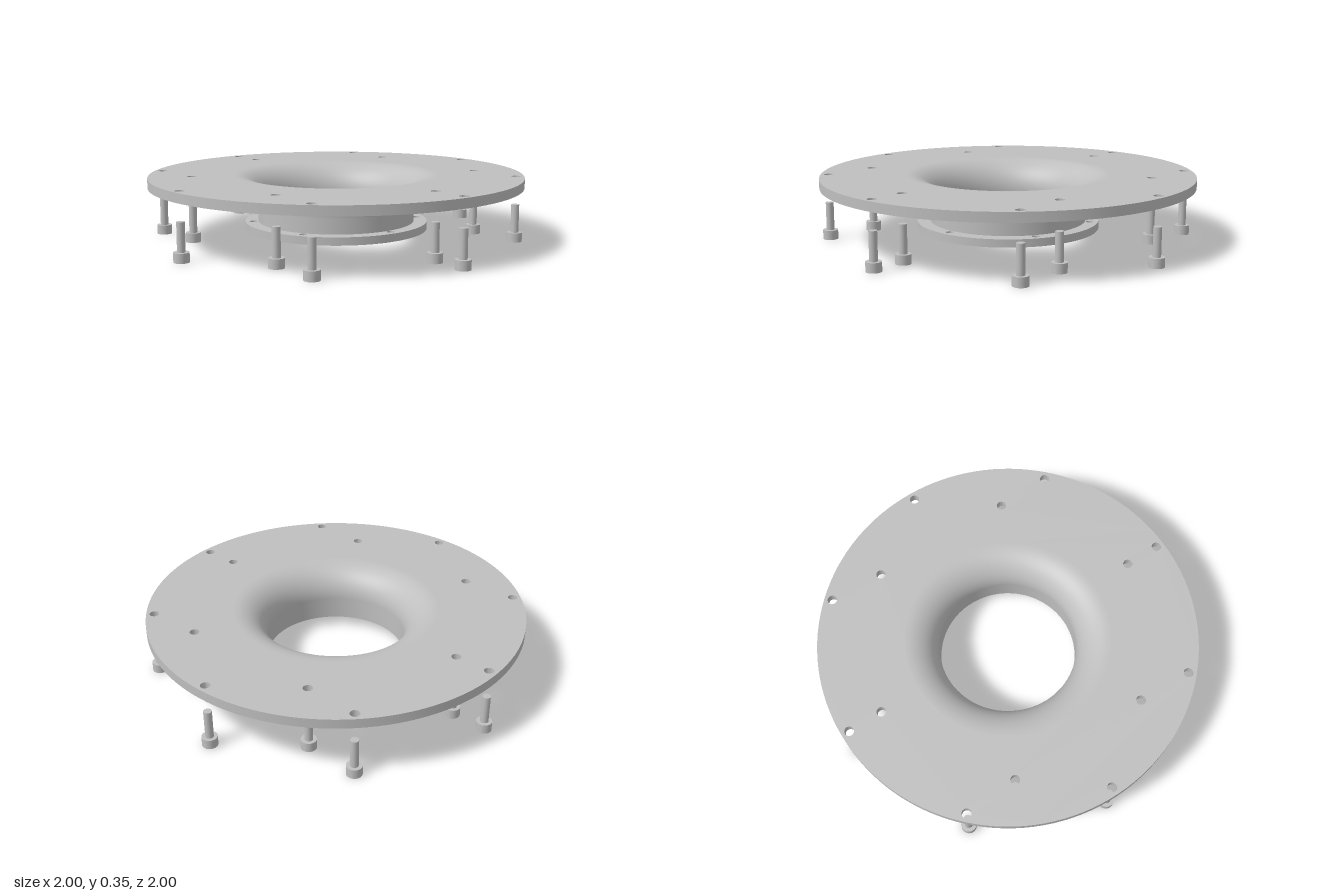
import * as THREE from 'three';
import { toCreasedNormals } from 'three/addons/utils/BufferGeometryUtils.js';

const BOLT_R = 0.957, INNER_BOLT_R = 0.768, FLANGE_HOLE_R = 0.446;
const BORE = 0.368, NECK = 0.42, FLARE = 0.54;

// Evenly spaced points on a circle
function ring(count, radius, cx = 0, cy = 0) {
  return Array.from({ length: count }, (_, i) => {
    const a = (i / count) * Math.PI * 2;
    return new THREE.Vector2(cx + Math.cos(a) * radius, cy + Math.sin(a) * radius);
  });
}

// Flat disc lying on y, cut by the given outlines
function cutDisc(outline, holes, y, height) {
  const shape = new THREE.Shape(outline);
  shape.holes = holes.map((points) => new THREE.Path(points));
  const geo = new THREE.ExtrudeGeometry(shape, { depth: height, bevelEnabled: false });
  geo.rotateX(-Math.PI / 2).translate(0, y, 0);
  return toCreasedNormals(geo, Math.PI / 5);
}

// Quarter arc around the fillet centre, from the neck up to the plate
function filletArc(radius) {
  return Array.from({ length: 17 }, (_, i) => {
    const a = (i / 16) * Math.PI / 2;
    return new THREE.Vector2(FLARE - Math.cos(a) * radius, 0.18 + Math.sin(a) * radius);
  });
}

export function createModel() {
  const model = new THREE.Group();
  model.name = 'boltedFlange';
  const steel = new THREE.MeshStandardMaterial({ color: 0xbfbfbf });
  steel.name = 'grey steel';

  function add(parent, name, geometry) {
    const mesh = new THREE.Mesh(geometry, steel);
    mesh.name = name;
    parent.add(mesh);
    return mesh;
  }

  // Two bolt circles: eight at the rim, six further in
  const boltSpots = [...ring(8, BOLT_R), ...ring(6, INNER_BOLT_R)];

  // Wide top plate with clearance holes
  const plateHoles = boltSpots.map((p) => ring(20, 0.025, p.x, p.y));
  add(model, 'topPlate', cutDisc(ring(128, 1), [ring(96, FLARE), ...plateHoles], 0.30, 0.05));

  // Flared neck: outside and inside skins
  const outside = [new THREE.Vector2(NECK, 0.10), ...filletArc(FLARE - NECK)];
  const inside = [new THREE.Vector2(BORE, 0.10), ...filletArc(FLARE - BORE)];
  inside.forEach((p) => { if (p.y > 0.18) p.y = 0.18 + (p.y - 0.18) * 0.17 / (FLARE - BORE); });
  add(model, 'neckOutside', new THREE.LatheGeometry(outside, 96));
  add(model, 'neckInside', new THREE.LatheGeometry(inside.reverse(), 96));

  // Small lower flange with six holes
  const flangeHoles = ring(6, FLANGE_HOLE_R).map((p) => ring(20, 0.021, p.x, p.y));
  add(model, 'lowerFlange', cutDisc(ring(96, 0.49), [ring(96, BORE), ...flangeHoles], 0.058, 0.042));

  // Socket head bolts hanging below the plate
  const socketHead = cutDisc(ring(32, 0.04), [ring(6, 0.021)], 0, 0.028);
  const headTop = new THREE.CylinderGeometry(0.04, 0.04, 0.022, 32).translate(0, 0.039, 0);
  const shank = new THREE.CylinderGeometry(0.021, 0.021, 0.15, 24).translate(0, 0.125, 0);
  boltSpots.forEach((p, i) => {
    const bolt = new THREE.Group();
    bolt.name = `bolt${i + 1}`;
    add(bolt, 'socketHead', socketHead);
    add(bolt, 'headTop', headTop);
    add(bolt, 'shank', shank);
    bolt.position.set(p.x, 0, -p.y);
    model.add(bolt);
  });

  return model;
}
